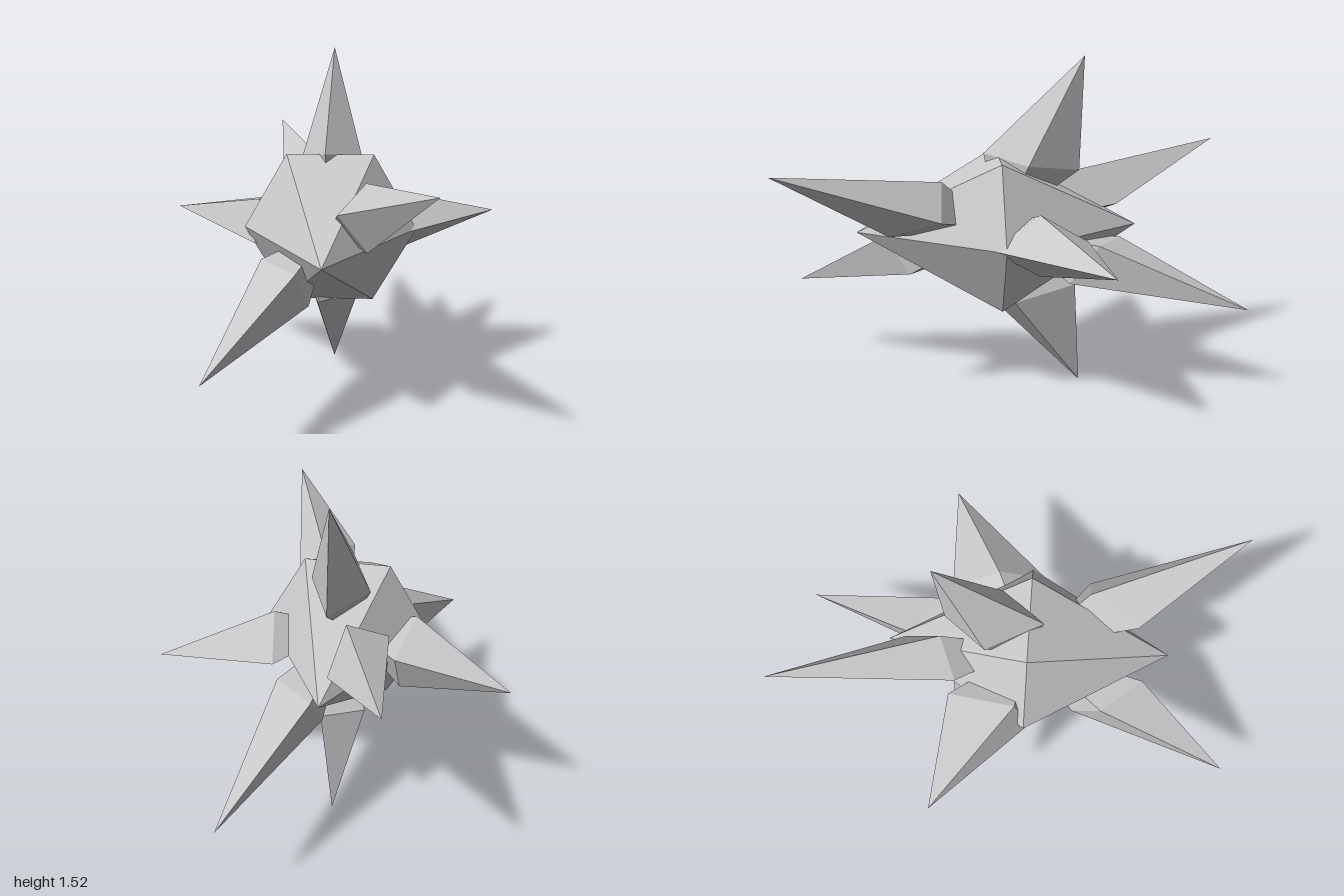
import * as THREE from 'three';

const STRETCH = 1.65; // the whole star is stretched along z
const CENTRE = new THREE.Vector3(0, 0.76, 0.07);

// Double pyramid along y with flat faces
function doublePyramid(sides, low, ring, radius, high, start = 0) {
  const profile = [[0, low], [radius, ring], [0, high]].map(p => new THREE.Vector2(...p));
  const geometry = new THREE.LatheGeometry(profile, sides, start).toNonIndexed();
  geometry.computeVertexNormals();
  return geometry;
}

export function createModel() {
  const model = new THREE.Group();
  model.name = 'spikedCrystal';
  const grey = new THREE.MeshStandardMaterial({ color: 0xc8c8c8 });
  grey.name = 'grey';

  const body = new THREE.Group();
  body.name = 'body';
  body.position.copy(CENTRE);
  body.scale.z = STRETCH;
  model.add(body);

  // Six-sided core pointing front and back
  const core = new THREE.Mesh(doublePyramid(6, -0.38, 0, 0.38, 0.38, Math.PI / 2), grey);
  core.name = 'core';
  core.rotation.x = Math.PI / 2;
  body.add(core);

  // Four-sided spikes: name, tip position, twist in degrees about the spike's axis
  const spikes = [
    ['topSpike', [0, 1.52, -0.31], 8],
    ['bottomSpike', [0, 0, -0.31], -24],
    ['leftSpike', [0.755, 0.76, -0.31], 0],
    ['rightSpike', [-0.755, 0.76, -0.31], 30],
    ['frontUpperSpike', [0.42, 1.113, 1], 16],
    ['frontLowerSpike', [-0.42, 0.41, 1], 48],
    ['backUpperSpike', [-0.32, 1.085, -1], -18],
    ['backLowerSpike', [0.32, 0.44, -1], -41],
  ];
  for (const [name, tip, degrees] of spikes) {
    const axis = new THREE.Vector3(...tip).sub(CENTRE);
    axis.z /= STRETCH;
    const length = axis.length();
    axis.normalize();

    // Basis around the axis, measured from up (or from front for the upright spikes)
    const ref = Math.abs(axis.y) > 0.9 ? new THREE.Vector3(0, 0, 1) : new THREE.Vector3(0, 1, 0);
    const across = ref.clone().cross(axis).normalize();
    const forward = axis.clone().cross(across);
    const twist = THREE.MathUtils.degToRad(degrees);
    const z = forward.multiplyScalar(Math.cos(twist)).addScaledVector(across, Math.sin(twist));
    const x = axis.clone().cross(z);

    const spike = new THREE.Mesh(doublePyramid(4, 0, 0.395 * length, 0.135, length), grey);
    spike.name = name;
    spike.quaternion.setFromRotationMatrix(new THREE.Matrix4().makeBasis(x, axis, z));
    body.add(spike);
  }
  return model;
}
